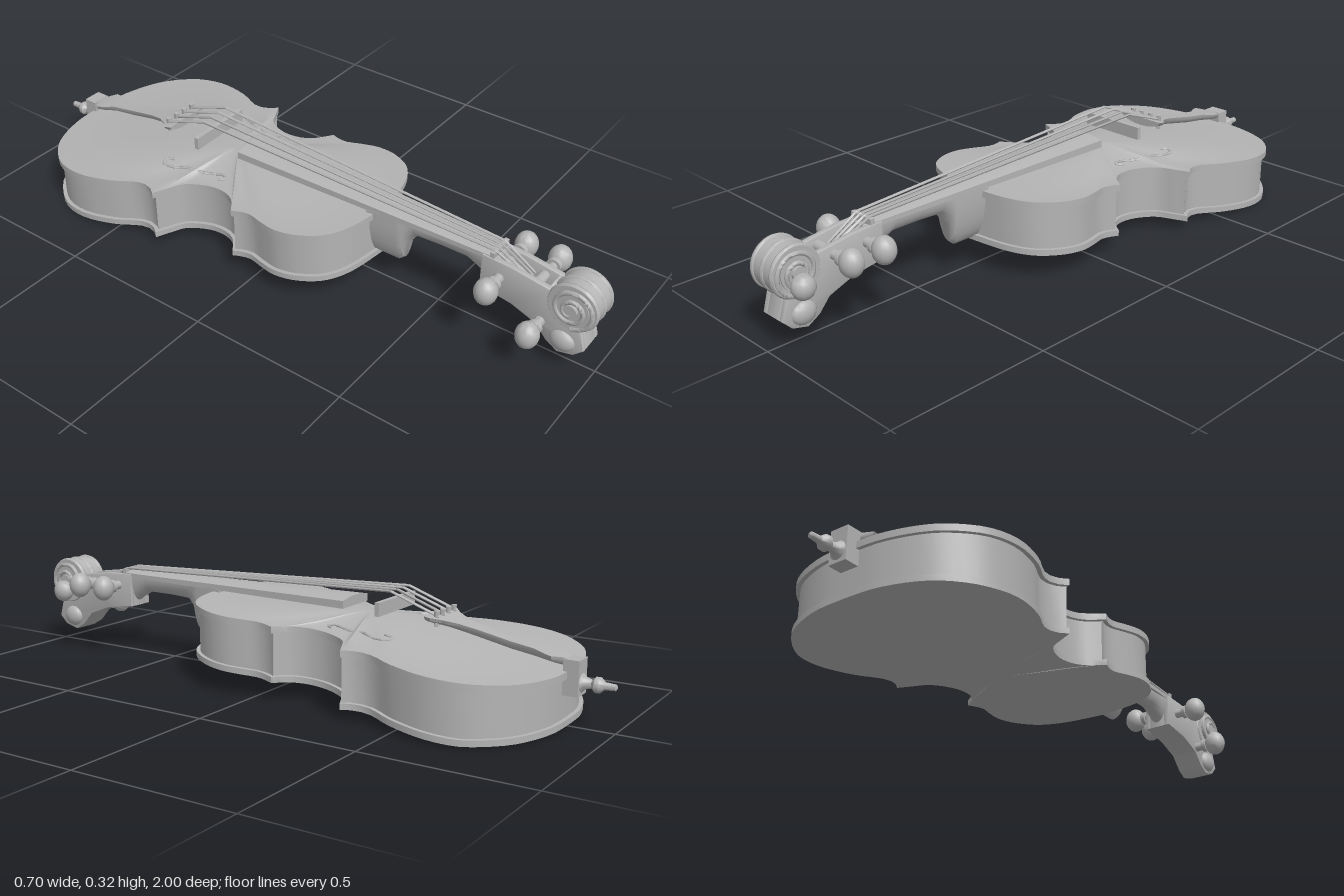
import * as THREE from 'three';
import { toCreasedNormals } from 'three/addons/utils/BufferGeometryUtils.js';

const V2 = (x, y) => new THREE.Vector2(x, y);
const V3 = (x, y, z) => new THREE.Vector3(x, y, z);

// Skin a list of equal-length vertex loops and cap both ends
function loft(rings) {
  const n = rings[0].length, last = rings.length - 1, pos = [], idx = [];
  rings.forEach(r => r.forEach(p => pos.push(p.x, p.y, p.z)));
  for (let i = 0; i < last; i++) for (let j = 0; j < n; j++) {
    const k = (j + 1) % n, a = i * n + j, b = i * n + k, c = a + n, d = b + n;
    idx.push(a, c, d, a, d, b);
  }
  [0, last].forEach((i, e) => {
    const m = rings[i].reduce((s, p) => s.add(p), V3(0, 0, 0)).divideScalar(n);
    const c = pos.length / 3;
    pos.push(m.x, m.y, m.z);
    for (let j = 0; j < n; j++) {
      const a = i * n + j, b = i * n + (j + 1) % n;
      idx.push(c, e ? b : a, e ? a : b);
    }
  });
  const g = new THREE.BufferGeometry();
  g.setAttribute('position', new THREE.Float32BufferAttribute(pos, 3));
  g.setIndex(idx);
  return g;
}

// Loop with a flat top and a half-round underside
const halfRound = (z, w, top, bottom, n = 14) => Array.from({ length: n + 1 }, (_, i) => {
  const t = Math.PI * i / n;
  return V3(w * Math.cos(t), top - (top - bottom) * Math.sin(t), z);
});

// Extrude a (z, y) outline across x, centred on x
function sideExtrude(points, x, width) {
  const g = new THREE.ExtrudeGeometry(new THREE.Shape(points),
    { depth: width - 0.008, bevelEnabled: true, bevelSize: 0.004, bevelThickness: 0.004, bevelSegments: 2 });
  g.translate(0, 0, -(width - 0.008) / 2).rotateY(-Math.PI / 2).translate(x, 0, 0);
  return g;
}

// Body outline: lower bout, waist and upper bout, meeting in sharp corners
const BOUTS = [
  [[0, -.87], [.1, -.865], [.2, -.835], [.27, -.79], [.33, -.71], [.348, -.61], [.325, -.5], [.287, -.42], [.287, -.37], [.31, -.335]],
  [[.31, -.335], [.27, -.315], [.22, -.285], [.19, -.22], [.188, -.16], [.205, -.115], [.23, -.09], [.257, -.07]],
  [[.257, -.07], [.248, -.045], [.243, -.01], [.257, .04], [.268, .1], [.255, .17], [.21, .24], [.13, .28], [0, .3]],
];
function bodyOutline() {
  const half = [];
  BOUTS.forEach(b => {
    const pts = new THREE.SplineCurve(b.map(p => V2(...p))).getSpacedPoints(26);
    half.push(...(half.length ? pts.slice(1) : pts));
  });
  return half.concat(half.slice(1, -1).reverse().map(p => V2(-p.x, p.y)));
}
const MID = -0.25;
const arch = s => (1 + Math.cos(Math.PI * Math.min(1, s))) / 2;
const bellyY = (z, s) => 0.236 + 0.08 * z + 0.035 * arch(s);
const backY = (z, s) => Math.max(0, Math.max(0.012, 0.07 + 0.083 * z) - 0.02 * arch(s));

export function createModel() {
  const group = new THREE.Group();
  const mat = new THREE.MeshStandardMaterial({ color: 0xb4b4b4 });
  mat.name = 'plain grey';
  const add = (name, geo, crease = 0.6) => {
    const m = new THREE.Mesh(toCreasedNormals(geo, crease), mat);
    m.name = name;
    group.add(m);
    return m;
  };

  // Body: arched back, inset ribs, arched belly
  const outline = bodyOutline(), n = outline.length;
  const inset = outline.map((p, i) => {
    const t = outline[(i + 1) % n].clone().sub(outline[(i + n - 1) % n]).normalize();
    return V2(p.x - t.y * 0.012, p.y + t.x * 0.012);
  });
  const ring = (s, yAt, base = outline) => base.map(p => {
    const z = MID + (p.y - MID) * s;
    return V3(p.x * s, yAt(z), z);
  });
  const steps = [0.04, 0.15, 0.3, 0.45, 0.6, 0.72, 0.84, 0.94, 1];
  add('body', loft([
    ...steps.map(s => ring(s, z => backY(z, s))),
    ring(1, z => backY(z, 1) + 0.018),
    ring(1, z => backY(z, 1) + 0.018, inset),
    ring(1, z => bellyY(z, 1) - 0.02, inset),
    ring(1, z => bellyY(z, 1) - 0.02),
    ...steps.slice().reverse().map(s => ring(s, z => bellyY(z, s))),
  ]));

  // Sound holes: slim S curves lying on the belly
  const bellyAt = (x, z) => {
    const a = Math.atan2(z - MID, x);
    const near = outline.reduce((best, p) => {
      const d = Math.abs(Math.atan2(p.y - MID, p.x) - a);
      return d < best.d ? { d, r: Math.hypot(p.x, p.y - MID) } : best;
    }, { d: 9, r: 1 });
    return bellyY(z, Math.hypot(x, z - MID) / near.r);
  };
  const fPath = [[.15, -.385], [.158, -.41], [.178, -.405], [.178, -.37], [.16, -.32], [.148, -.27], [.13, -.22], [.128, -.2], [.14, -.19], [.15, -.21]];
  for (const s of [1, -1]) {
    const curve = new THREE.CatmullRomCurve3(fPath.map(([x, z]) => V3(s * x, bellyAt(s * x, z), z)));
    add('soundHole', new THREE.TubeGeometry(curve, 50, 0.005, 6), 1.2);
  }

  // Neck with heel: [z, half width, top, bottom]
  add('neck', loft([
    [.27, .055, .265, .10], [.365, .05, .272, .10], [.382, .047, .272, .115], [.39, .044, .272, .17],
    [.42, .04, .272, .213], [.5, .037, .272, .217], [.59, .036, .272, .217], [.63, .038, .272, .195], [.67, .042, .272, .165],
  ].map(a => halfRound(...a))), 0.8);

  // Fingerboard with a gently rounded top
  const board = (z, w, top, low) => [[w, top - .008], [w, low], [-w, low], [-w, top - .008], [-w * .5, top - .002], [0, top], [w * .5, top - .002]]
    .map(([x, y]) => V3(x, y, z));
  add('fingerboard', loft([board(-.195, .07, .295, .264), board(.67, .04, .286, .265)]));
  add('nut', new THREE.BoxGeometry(.084, .026, .014).translate(0, .278, .675));

  // Bridge
  add('bridge', new THREE.BoxGeometry(.215, .04, .014).translate(0, .284, -.33));

  // Strings, peaking over the bridge
  for (const k of [-1.5, -.5, .5, 1.5]) {
    const pts = [V3(k * .012, .235, .78), V3(k * .018, .292, .675), V3(k * .036, .33, -.345), V3(k * .036, .275, -.5)];
    const path = new THREE.CurvePath();
    for (let i = 0; i < 3; i++) path.add(new THREE.LineCurve3(pts[i], pts[i + 1]));
    path.curves.forEach(c => add('string', new THREE.TubeGeometry(c, 1, 0.004, 6), 1.2));
  }

  // Tailpiece: [z, half width, top]
  add('tailpiece', loft([
    [-.875, .012, .198], [-.85, .025, .203], [-.83, .05, .208], [-.81, .046, .211], [-.77, .025, .216], [-.7, .022, .226],
    [-.6, .026, .247], [-.55, .036, .258], [-.51, .06, .268], [-.485, .085, .275], [-.465, .08, .277],
  ].map(([z, w, y]) => halfRound(z, w, y, y - .026, 8))), 0.7);
  for (const k of [-1.5, -.5, .5, 1.5])
    add('tuner', new THREE.CylinderGeometry(.008, .006, .045, 8).translate(k * .036, .268, -.492), 0.8);

  // Saddle and end button with its pin
  add('saddle', new THREE.BoxGeometry(.06, .1, .045).translate(0, .15, -.88));
  const pin = [[0, 0], [.03, 0], [.03, .02], [.018, .03], [.012, .05], [.022, .06], [.022, .072], [.011, .085], [.009, .115], [0, .12]];
  add('endPin', new THREE.LatheGeometry(pin.map(p => V2(...p)), 16).rotateX(-Math.PI / 2).translate(0, .135, -.88), 0.7);

  // Pegbox: two cheeks and a floor leave an open slot on top
  const under = [V2(.97, .1), V2(.945, .075), V2(.9, .064), V2(.865, .085), V2(.83, .125), V2(.75, .155), V2(.65, .17)];
  const cheek = [V2(.65, .272), V2(.74, .268), V2(.86, .25), V2(.95, .17), ...under];
  const floor = [V2(.65, .272), V2(.69, .268), V2(.695, .21), V2(.84, .18), V2(.85, .25), V2(.95, .17), ...under];
  for (const s of [1, -1]) add('pegboxCheek', sideExtrude(cheek, s * .036, .02));
  add('pegboxFloor', sideExtrude(floor, 0, .06));
  for (const s of [1, -1])
    add('pegboxLobe', new THREE.SphereGeometry(1, 14, 10).scale(.024, .035, .04).translate(s * .04, .105, .91), 1.2);

  // Scroll: stepped drum with a raised spiral on each side
  const CY = .228, CZ = .925;
  const disc = (r, w) => new THREE.CylinderGeometry(r, r, w, 32).rotateZ(Math.PI / 2).translate(0, CY, CZ);
  add('scrollDrum', disc(.071, .1));
  add('scrollStep', disc(.05, .112));
  add('scrollEye', disc(.02, .132));
  for (const x of [-.042, 0, .042])
    add('scrollRidge', new THREE.TorusGeometry(.067, .0085, 8, 36).rotateY(Math.PI / 2).translate(x, CY, CZ), 1.2);
  for (const s of [1, -1]) {
    const spiral = Array.from({ length: 40 }, (_, i) => {
      const t = i / 39, a = -1.5 + t * Math.PI * 4, r = .066 - .05 * t;
      return V3(s * (.05 + .012 * t), CY + r * Math.sin(a), CZ + r * Math.cos(a));
    });
    add('scrollSpiral', new THREE.TubeGeometry(new THREE.CatmullRomCurve3(spiral), 90, .007, 6), 1.2);
  }

  // Tuning pegs: [side, y, z]
  for (const [s, y, z] of [[-1, .223, .705], [-1, .14, .84], [1, .235, .70], [1, .235, .805]]) {
    add('pegShaft', new THREE.CylinderGeometry(.013, .018, .15, 12).rotateZ(-s * Math.PI / 2).translate(s * .03, y, z));
    add('pegCollar', new THREE.CylinderGeometry(.022, .022, .014, 14).rotateZ(Math.PI / 2).translate(s * .08, y, z));
    add('pegHead', new THREE.SphereGeometry(1, 16, 12).scale(.035, .041, .034).translate(s * .118, y, z), 1.2);
  }
  const knob = add('scrollKnob', new THREE.SphereGeometry(1, 12, 10).scale(.03, .036, .035), 1.2);
  knob.position.set(.075, .195, .925);

  return group;
}
